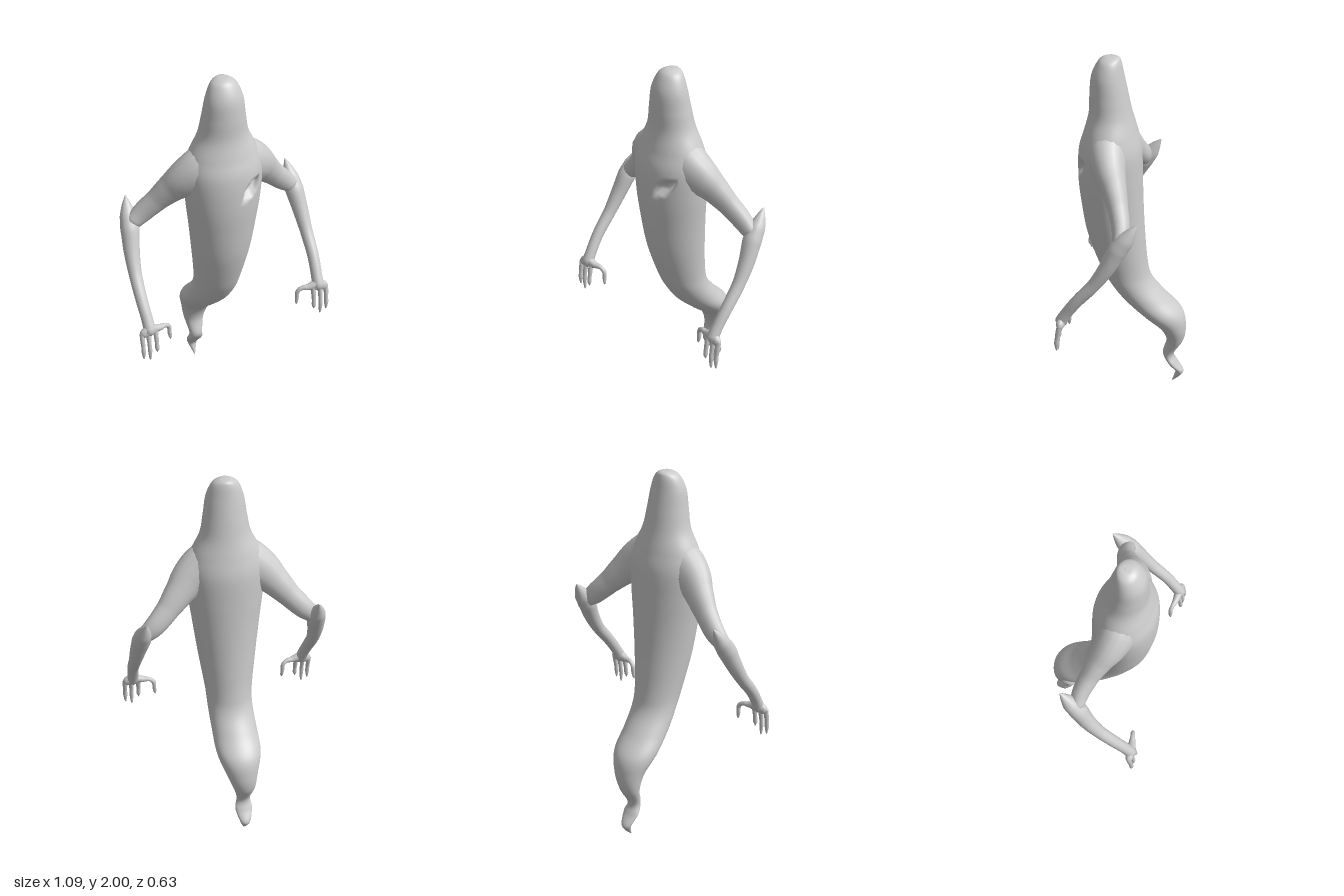
import * as THREE from 'three';
import { mergeVertices } from 'three/addons/utils/BufferGeometryUtils.js';

const material = new THREE.MeshStandardMaterial({ color: 0xcccccc });

// Weld seams and smooth the normals
function smooth(geometry) {
  geometry.deleteAttribute('uv');
  geometry.deleteAttribute('normal');
  const welded = mergeVertices(geometry, 1e-5);
  welded.computeVertexNormals();
  return welded;
}

function addMesh(parent, name, geometry) {
  const mesh = new THREE.Mesh(geometry, material);
  mesh.name = name;
  parent.add(mesh);
}

// Tapered limb through [x, y, z, radius] points, optionally thinned in z
function limb(points, flatten = 1, segments = 32, sides = 16) {
  const curve = new THREE.CatmullRomCurve3(points.map(p => new THREE.Vector3(p[0], p[1], p[2])));
  const geometry = new THREE.TubeGeometry(curve, segments, 1, sides);
  const pos = geometry.attributes.position;
  const v = new THREE.Vector3();
  for (let i = 0; i <= segments; i++) {
    const center = curve.getPointAt(i / segments);
    const t = curve.getUtoTmapping(i / segments) * (points.length - 1);
    const k = Math.min(Math.floor(t), points.length - 2);
    const r = THREE.MathUtils.lerp(points[k][3], points[k + 1][3], t - k);
    for (let j = 0; j <= sides; j++) {
      const n = i * (sides + 1) + j;
      v.fromBufferAttribute(pos, n).sub(center).multiplyScalar(r);
      v.z *= flatten;
      v.add(center);
      pos.setXYZ(n, v.x, v.y, v.z);
    }
  }
  return smooth(geometry);
}

// Body cross-sections, bottom to top: y, centre x, half width, front z, back z
const sections = [
  [0.00, -0.025, 0.001, -0.240, -0.245],
  [0.04, -0.025, 0.016, -0.252, -0.285],
  [0.08, -0.025, 0.030, -0.258, -0.305],
  [0.14, -0.025, 0.047, -0.215, -0.267],
  [0.20, -0.028, 0.038, -0.185, -0.250],
  [0.30, -0.025, 0.060, -0.205, -0.300],
  [0.40, -0.015, 0.088, -0.165, -0.312],
  [0.50, -0.010, 0.120, -0.060, -0.290],
  [0.60, -0.005, 0.122, 0.040, -0.200],
  [0.70, 0.000, 0.122, 0.110, -0.125],
  [0.80, 0.000, 0.128, 0.160, -0.098],
  [1.00, 0.000, 0.155, 0.225, -0.080],
  [1.20, 0.000, 0.180, 0.255, -0.070],
  [1.35, 0.000, 0.198, 0.266, -0.066],
  [1.50, 0.000, 0.205, 0.260, -0.060],
  [1.60, 0.000, 0.180, 0.232, -0.038],
  [1.70, 0.000, 0.132, 0.207, -0.012],
  [1.80, 0.000, 0.112, 0.202, 0.008],
  [1.90, 0.000, 0.096, 0.192, 0.028],
  [1.97, 0.000, 0.068, 0.160, 0.042],
  [1.995, 0.000, 0.034, 0.130, 0.055],
  [2.00, 0.000, 0.001, 0.091, 0.089],
];

// Depth of the slanted leaf-shaped hollow in the chest
function hollow(x, y) {
  const dx = x - 0.095, dy = y - 1.427;
  const along = (dx * 0.77 + dy * 0.64) / 0.076;
  const across = (dy * 0.77 - dx * 0.64) / 0.036;
  const inside = 1 - along * along - Math.abs(across);
  return inside > 0 ? 0.04 * Math.min(1, inside * 2) : 0;
}

function bodyGeometry() {
  const rows = 170, sides = 120;
  const makeCurve = f => new THREE.CatmullRomCurve3(sections.map(f), false, 'catmullrom', 0.5);
  const outline = makeCurve(s => new THREE.Vector3(s[1], s[0], s[2]));
  const depth = makeCurve(s => new THREE.Vector3(s[3], s[4], 0));
  const positions = [], index = [];
  for (let i = 0; i <= rows; i++) {
    const o = outline.getPoint(i / rows), d = depth.getPoint(i / rows);
    const y = THREE.MathUtils.clamp(o.y, 0, 2);
    for (let j = 0; j < sides; j++) {
      const a = j / sides * Math.PI * 2;
      const x = o.x + o.z * Math.sin(a);
      let z = (d.x + d.y) / 2 + (d.x - d.y) / 2 * Math.cos(a);
      if (Math.cos(a) > 0) z -= hollow(x, y);
      positions.push(x, y, z);
      if (i < rows) {
        const p = i * sides + j, q = i * sides + (j + 1) % sides;
        index.push(p, q, q + sides, p, q + sides, p + sides);
      }
    }
  }
  const geometry = new THREE.BufferGeometry();
  geometry.setAttribute('position', new THREE.Float32BufferAttribute(positions, 3));
  geometry.setIndex(index);
  geometry.computeVertexNormals();
  return geometry;
}

function createArm(side) {
  const arm = new THREE.Group();
  arm.name = side > 0 ? 'leftArm' : 'rightArm';
  const part = (name, points, ...options) =>
    addMesh(arm, name, limb(points.map(([x, ...rest]) => [x * side, ...rest]), ...options));

  // Broad shoulder narrowing to the elbow
  part('upperArm', [
    [0.04, 1.54, 0.10, 0.14], [0.12, 1.51, 0.095, 0.125], [0.19, 1.465, 0.075, 0.105],
    [0.25, 1.41, 0.045, 0.082], [0.32, 1.335, 0.012, 0.064], [0.40, 1.255, -0.015, 0.056],
    [0.45, 1.21, -0.015, 0.045], [0.47, 1.18, -0.005, 0.002],
  ], 0.8);

  // Forearm starting in the pointed elbow spike
  part('forearm', [
    [0.452, 1.325, -0.105, 0.002], [0.457, 1.29, -0.082, 0.022], [0.462, 1.24, -0.05, 0.043],
    [0.468, 1.18, -0.01, 0.050], [0.482, 1.08, 0.042, 0.042], [0.49, 0.98, 0.105, 0.034],
    [0.492, 0.87, 0.195, 0.031], [0.487, 0.79, 0.25, 0.030], [0.485, 0.73, 0.283, 0.032],
    [0.485, 0.70, 0.29, 0.002],
  ], 1, 48);

  // Flat palm spread across x
  part('palm', [
    [0.427, 0.732, 0.275, 0.003], [0.445, 0.73, 0.278, 0.022], [0.485, 0.735, 0.28, 0.036],
    [0.525, 0.722, 0.284, 0.024], [0.543, 0.715, 0.287, 0.003],
  ], 0.75);

  // Three hanging fingers: x, tip height
  for (const [x, tip] of [[0.455, 0.595], [0.495, 0.555], [0.53, 0.572]]) {
    part('finger', [
      [x, 0.73, 0.284, 0.013], [x, 0.69, 0.292, 0.013], [x, 0.655, 0.298, 0.011],
      [x, 0.62, 0.302, 0.012], [x, tip + 0.012, 0.302, 0.006], [x, tip, 0.301, 0.001],
    ], 1, 20, 10);
  }

  // Thumb arching inward and down
  part('thumb', [
    [0.47, 0.742, 0.278, 0.024], [0.43, 0.732, 0.274, 0.018], [0.395, 0.73, 0.267, 0.012],
    [0.373, 0.712, 0.262, 0.012], [0.37, 0.67, 0.263, 0.011],
    [0.367, 0.642, 0.265, 0.008], [0.366, 0.628, 0.266, 0.001],
  ], 1, 28, 10);
  return arm;
}

export function createModel() {
  const model = new THREE.Group();
  model.name = 'ghost';
  addMesh(model, 'body', bodyGeometry());
  for (const side of [1, -1]) model.add(createArm(side));
  return model;
}
